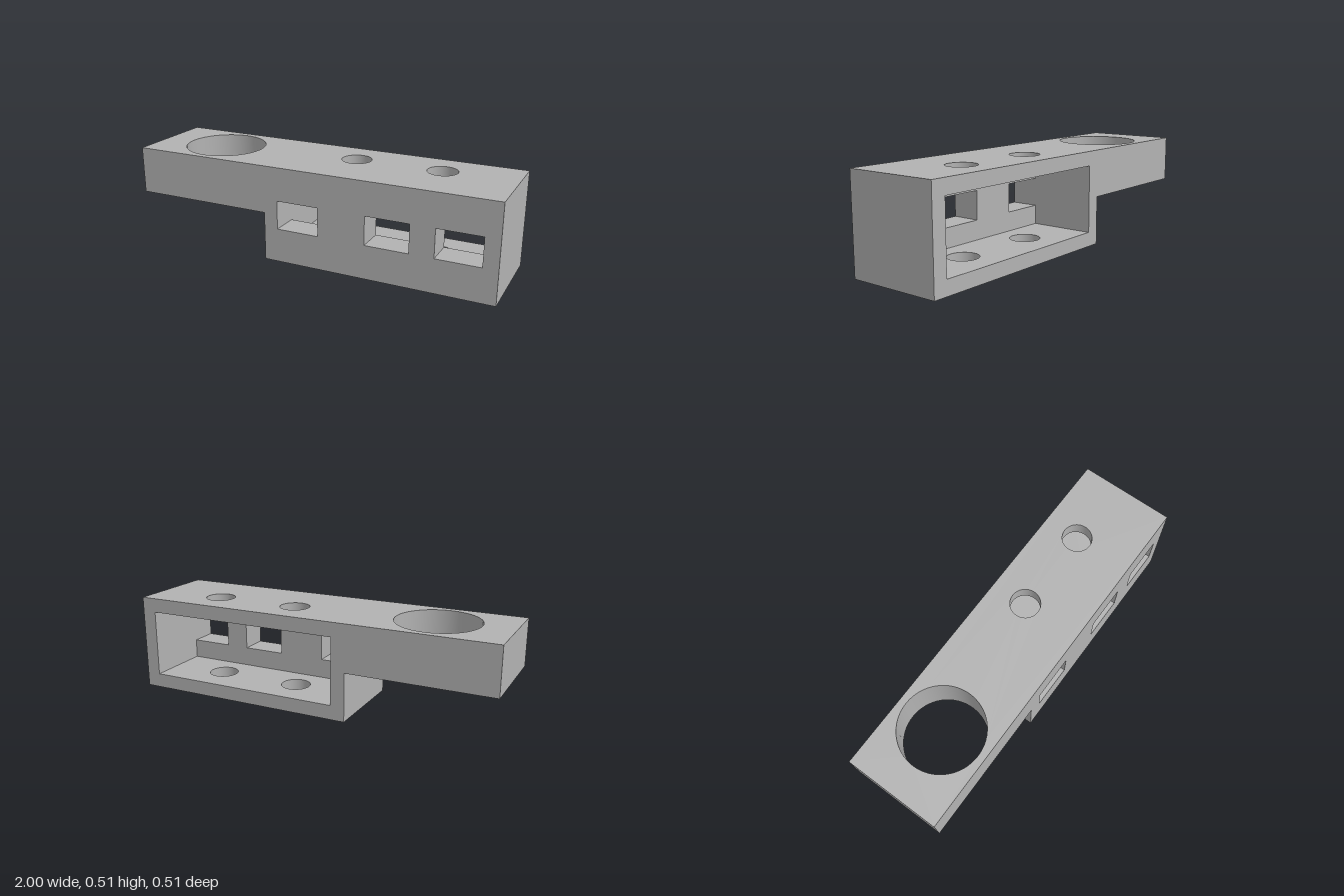
import * as THREE from 'three';
import { mergeGeometries } from 'three/addons/utils/BufferGeometryUtils.js';

// Main dimensions
const D = 0.256, H = 0.513;             // half depth, full height
const STEP_X = -0.23, STEP_Y = 0.26;    // underside step of the thin end
const C = { x0: -0.154, x1: 0.923, y0: 0.077, y1: 0.436, z: 0.103 }; // cavity, open at the back
const WIN_Y0 = 0.181, WIN_Y1 = 0.334;
const WINDOWS = [[-0.154, 0.077], [0.333, 0.564], [0.692, 0.923]];
const RING = { x: -0.617, z: 0, r: 0.219 };
const BORES = [0.15, 0.615].map((x) => ({ x, z: -0.061, r: 0.079 }));

const rect = (u0, v0, u1, v1) => [[u0, v0], [u1, v0], [u1, v1], [u0, v1]];
const toPoints = (list) => list.map(([u, v]) => new THREE.Vector2(u, v));
const circle = ({ x, z, r }) => new THREE.Path().absarc(x, z, r, 0, Math.PI * 2, true);
const cutout = (points) => new THREE.Path(toPoints(points));

// Turns a surface inside out
function flip(geometry) {
  const index = geometry.index;
  for (let i = 0; i < index.count; i += 3) {
    const a = index.getX(i);
    index.setX(i, index.getX(i + 2));
    index.setX(i + 2, a);
  }
  geometry.attributes.normal.applyMatrix4(new THREE.Matrix4().makeScale(-1, -1, -1));
  return geometry;
}

// Flat face across an axis: outline is (x,y) for z, (x,z) for y, (z,y) for x
function face(axis, at, facing, points, holes = []) {
  const shape = new THREE.Shape(toPoints(points));
  shape.holes.push(...holes);
  const g = new THREE.ShapeGeometry(shape, 32);
  if (axis === 'y') g.rotateX(Math.PI / 2);
  if (axis === 'x') g.rotateY(-Math.PI / 2);
  g.translate(axis === 'x' ? at : 0, axis === 'y' ? at : 0, axis === 'z' ? at : 0);
  const natural = axis === 'z' ? 1 : -1;
  return facing === natural ? g : flip(g);
}

// Inward-facing round wall of a vertical hole
function bore({ x, z, r }, y0, y1) {
  const g = new THREE.CylinderGeometry(r, r, y1 - y0, 64, 1, true);
  return flip(g.translate(x, (y0 + y1) / 2, z));
}

export function createModel() {
  const group = new THREE.Group();
  const grey = new THREE.MeshStandardMaterial({ color: 0xb2b2b2 });
  grey.name = 'grey';
  const add = (name, faces) => {
    const mesh = new THREE.Mesh(mergeGeometries(faces), grey);
    mesh.name = name;
    group.add(mesh);
  };

  const profile = [[STEP_X, 0], [1, 0], [1, H], [-1, H], [-1, STEP_Y], [STEP_X, STEP_Y]];
  const windowHole = ([x0, x1]) => cutout(rect(x0, WIN_Y0, x1, WIN_Y1));
  const boreHoles = () => BORES.map(circle);

  // Stepped outer block
  add('outerBody', [
    face('z', D, 1, profile, WINDOWS.map(windowHole)),
    face('z', -D, -1, profile, [cutout(rect(C.x0, C.y0, C.x1, C.y1))]),
    face('y', H, 1, rect(-1, -D, 1, D), [circle(RING), ...boreHoles()]),
    face('y', 0, -1, rect(STEP_X, -D, 1, D), boreHoles()),
    face('y', STEP_Y, -1, rect(-1, -D, STEP_X, D), [circle(RING)]),
    face('x', 1, 1, rect(-D, 0, D, H)),
    face('x', -1, -1, rect(-D, STEP_Y, D, H)),
    face('x', STEP_X, -1, rect(-D, 0, D, STEP_Y)),
  ]);

  // Cavity; the end windows notch its front wall, the middle one pierces it
  const firstEnd = WINDOWS[0][1], lastStart = WINDOWS[2][0];
  add('rearCavity', [
    face('z', C.z, -1, [
      [C.x0, C.y0], [C.x1, C.y0],
      [C.x1, WIN_Y0], [lastStart, WIN_Y0], [lastStart, WIN_Y1], [C.x1, WIN_Y1],
      [C.x1, C.y1], [C.x0, C.y1],
      [C.x0, WIN_Y1], [firstEnd, WIN_Y1], [firstEnd, WIN_Y0], [C.x0, WIN_Y0],
    ], [windowHole(WINDOWS[1])]),
    face('y', C.y0, 1, rect(C.x0, -D, C.x1, C.z), boreHoles()),
    face('y', C.y1, -1, rect(C.x0, -D, C.x1, C.z), boreHoles()),
    face('x', C.x0, 1, rect(-D, C.y0, C.z, C.y1)),
    face('x', C.x1, -1, rect(-D, C.y0, C.z, C.y1)),
  ]);

  // Rectangular window tunnels through the front wall
  add('windowTunnels', WINDOWS.flatMap(([x0, x1]) => [
    face('y', WIN_Y0, 1, rect(x0, C.z, x1, D)),
    face('y', WIN_Y1, -1, rect(x0, C.z, x1, D)),
    face('x', x0, 1, rect(C.z, WIN_Y0, D, WIN_Y1)),
    face('x', x1, -1, rect(C.z, WIN_Y0, D, WIN_Y1)),
  ]));

  // Round holes
  add('largeHole', [bore(RING, STEP_Y, H)]);
  add('boltHoles', BORES.flatMap((b) => [bore(b, 0, C.y0), bore(b, C.y1, H)]));

  return group;
}
